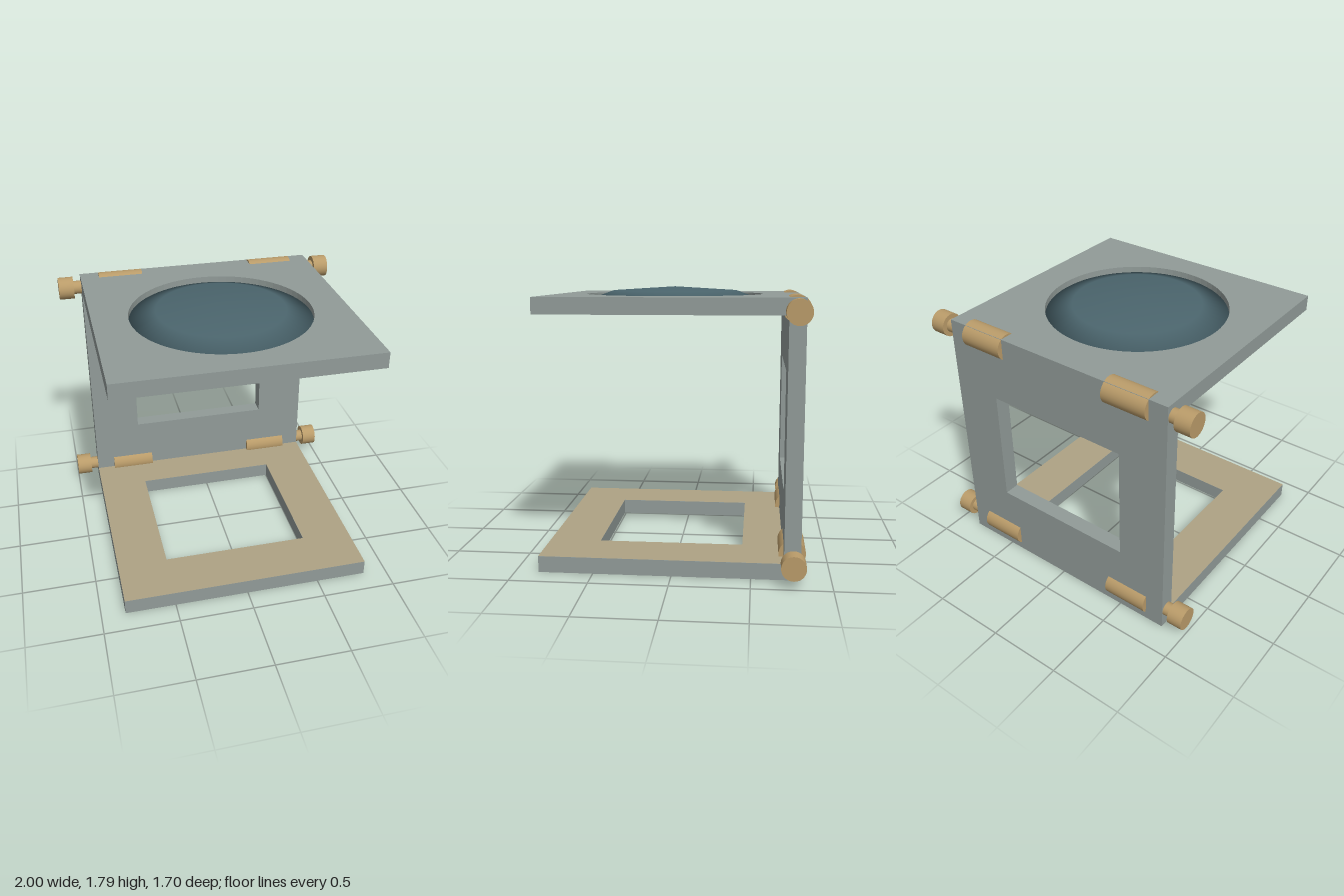
import * as THREE from 'three';

const mat = (color) => new THREE.MeshStandardMaterial({ color });

// Rectangle outline spanning x = -w..w and y = y0..y1
function trace(path, w, y0, y1) {
  path.moveTo(-w, y0);
  path.lineTo(w, y0);
  path.lineTo(w, y1);
  path.lineTo(-w, y1);
  path.closePath();
  return path;
}

function frameShape(w, y0, y1, hole) {
  const shape = trace(new THREE.Shape(), w, y0, y1);
  shape.holes.push(hole);
  return shape;
}

export function createModel() {
  const model = new THREE.Group();
  model.name = 'foldingMagnifier';
  const plateMat = mat(0x919b98);
  const brassMat = mat(0xb99b69);
  const paperMat = mat(0xaea284);
  const lensMat = mat(0x4b656d);

  const add = (name, geometry, material, x = 0, y = 0, z = 0) => {
    const mesh = new THREE.Mesh(geometry, material);
    mesh.name = name;
    mesh.position.set(x, y, z);
    model.add(mesh);
    return mesh;
  };
  const W = 0.84, T = 0.105, BACK = 0.81, FRONT = -0.85;
  const extrude = (shape) =>
    new THREE.ExtrudeGeometry(shape, { depth: T, bevelEnabled: false, curveSegments: 32 });

  // Base frame with a tan upper face
  const baseShape = frameShape(W, FRONT, BACK, trace(new THREE.Path(), 0.5, -0.51, 0.44));
  add('baseFrame', extrude(baseShape).rotateX(-Math.PI / 2), plateMat);
  add('baseTopFace', new THREE.ShapeGeometry(baseShape).rotateX(-Math.PI / 2), paperMat, 0, T + 0.001, 0);

  // Upright back frame
  const wallShape = frameShape(W, T, 1.635, trace(new THREE.Path(), 0.5, 0.475, 1.27));
  add('backFrame', extrude(wallShape), plateMat, 0, 0, -BACK);

  // Lens plate with a round opening, and the lens
  const R = 0.605, lensZ = 0.055;
  const round = new THREE.Path().absarc(0, -lensZ, R, 0, Math.PI * 2, true);
  const lensShape = frameShape(W, FRONT, BACK, round);
  add('lensPlate', extrude(lensShape).rotateX(-Math.PI / 2), plateMat, 0, 1.635, 0);
  const lens = new THREE.SphereGeometry(R, 64, 4).scale(1, 0.0925 / R, 1);
  add('lens', lens, lensMat, 0, 1.698, lensZ);

  // Hinge barrels, pins and knobs, mirrored left and right at both folds
  const rod = (r, length) => new THREE.CylinderGeometry(r, r, length, 32).rotateZ(Math.PI / 2);
  const folds = [
    { label: 'lower', barrelY: 0.125, knobY: 0.132 },
    { label: 'upper', barrelY: 1.667, knobY: 1.662 },
  ];
  for (const { label, barrelY, knobY } of folds) {
    for (const side of [-1, 1]) {
      const end = side > 0 ? 'Left' : 'Right';
      add(label + 'HingeBarrel' + end, rod(0.087, 0.31), brassMat, side * 0.555, barrelY, -0.76);
      add(label + 'HingePin' + end, rod(0.046, 0.1), brassMat, side * 0.86, knobY, -0.76);
      add(label + 'HingeKnob' + end, rod(0.0775, 0.105), brassMat, side * 0.9475, knobY, -0.76);
    }
  }
  return model;
}
